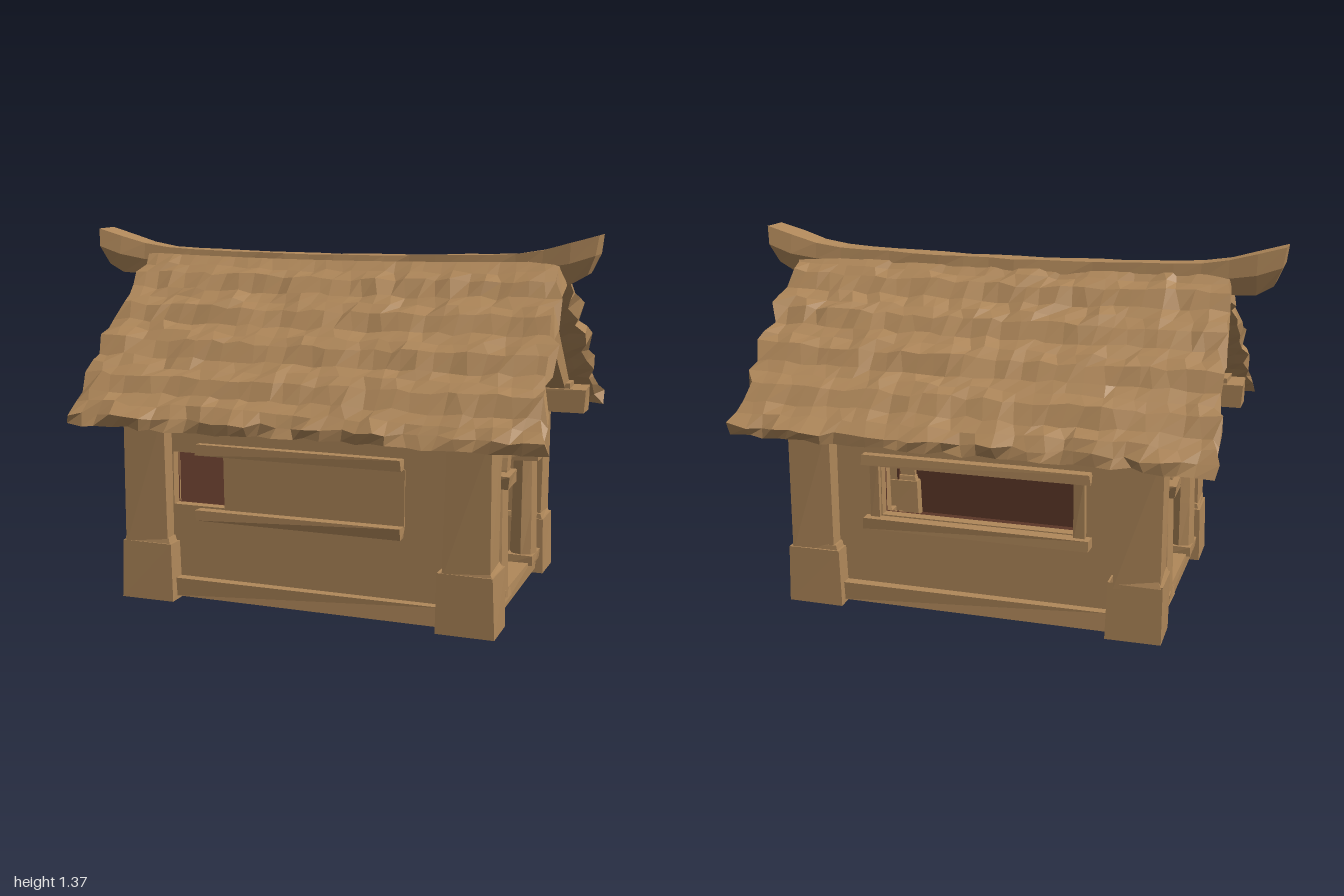
import * as THREE from 'three';

const tan = new THREE.MeshStandardMaterial({ color: 0xb0885a });
tan.name = 'tanWood';
const dark = new THREE.MeshStandardMaterial({ color: 0x5b3627 });
dark.name = 'darkInterior';

// repeatable noise from a position, so shared corners move together
const noise = (x, y, z, s = 0) => {
  const v = Math.sin(x * 127.1 + y * 311.7 + z * 74.7 + s * 53.3) * 4375.85;
  return v - Math.floor(v) - 0.5;
};

// move every vertex by a rule, then give each face its own flat normal
function carve(geo, rule) {
  const p = geo.attributes.position, v = new THREE.Vector3();
  for (let i = 0; i < p.count; i++) {
    v.fromBufferAttribute(p, i);
    rule(v);
    p.setXYZ(i, v.x, v.y, v.z);
  }
  const flat = geo.index ? geo.toNonIndexed() : geo;
  flat.computeVertexNormals();
  return flat;
}

function add(group, name, geo, mat = tan) {
  const m = new THREE.Mesh(geo, mat);
  m.name = name;
  group.add(m);
  return m;
}

// rough-hewn box given by its extents
function block(group, name, [x0, x1], [y0, y1], [z0, z1], mat = tan, rough = 0.01, taper = 0) {
  const geo = new THREE.BoxGeometry(x1 - x0, y1 - y0, z1 - z0);
  const m = add(group, name, carve(geo, (v) => {
    const a = noise(v.x + x0, v.y + y0, v.z + z0, 1), b = noise(v.x + x0, v.y + y0, v.z + z0, 2);
    if (v.y > 0) { v.x *= 1 - taper; v.z *= 1 - taper; }
    v.x += a * rough;
    v.z += b * rough;
    if (y0 > 0.02) v.y += (a + b) * rough * 0.4;
  }), mat);
  m.position.set((x0 + x1) / 2, (y0 + y1) / 2, (z0 + z1) / 2);
  return m;
}

function poly(points, Type = THREE.Shape) {
  return new Type(points.map(([x, y]) => new THREE.Vector2(x, y)));
}

function slab(group, name, shape, z0, z1, mat = tan) {
  const geo = new THREE.ExtrudeGeometry(shape, { depth: z1 - z0, bevelEnabled: false, curveSegments: 9 });
  geo.translate(0, 0, z0);
  return add(group, name, geo, mat);
}

// tan wall with a dark lining on its inner face
function wall(group, shape, z) {
  slab(group, 'wall', shape, z - 0.04, z);
  slab(group, 'wallLining', shape, z - 0.048, z - 0.04, dark);
}

// gable end, facing local +z
function gable(closed) {
  const g = new THREE.Group();
  const shape = poly([[-0.44, 0.03], [0.44, 0.03], [0.44, 0.73], [0, 1.17], [-0.44, 0.73]]);
  const hole = new THREE.Path();
  hole.moveTo(-0.345, 0.08);
  hole.lineTo(0.345, 0.08);
  hole.lineTo(0.345, 0.5);
  hole.lineTo(0.2, 0.5);
  hole.absarc(0, 0.5, 0.2, 0, Math.PI, false);
  hole.lineTo(-0.345, 0.5);
  shape.holes.push(hole);
  wall(g, shape, 0.65);

  // arch trim in two steps
  for (const [r, z] of [[0.29, 0.675], [0.255, 0.695]]) {
    const ring = new THREE.Shape();
    ring.absarc(0, 0.5, r, 0, Math.PI, false);
    ring.absarc(0, 0.5, 0.2, Math.PI, 0, true);
    slab(g, 'archTrim', ring, 0.62, z);
  }
  // columns beside the doorway
  for (const s of [-1, 1]) {
    const x = s * 0.25;
    const col = carve(new THREE.CylinderGeometry(0.046, 0.054, 0.42, 8, 2), (v) => {
      v.x += noise(v.x, v.y, v.z) * 0.006;
    });
    add(g, 'doorColumn', col).position.set(x, 0.29, 0.655);
    block(g, 'columnCapital', [x - 0.07, x + 0.07], [0.49, 0.54], [0.59, 0.72], tan, 0.015);
    block(g, 'columnFoot', [x - 0.06, x + 0.06], [0.07, 0.11], [0.6, 0.705]);
  }
  block(g, 'threshold', [-0.36, 0.36], [0.02, 0.08], [0.58, 0.685]);

  // tie beam, rafters and vent slit in the gable
  block(g, 'tieBeam', [-0.3, 0.3], [0.86, 0.91], [0.64, 0.74]);
  block(g, 'gableRail', [-0.16, 0.16], [0.95, 0.975], [0.645, 0.66]);
  block(g, 'ventSlit', [-0.13, 0.13], [0.953, 0.963], [0.655, 0.664], dark, 0);
  for (const s of [-1, 1]) {
    const rafter = poly([[0, 1.18], [0, 1.08], [s * 0.2, 0.87], [s * 0.38, 0.74], [s * 0.48, 0.71], [s * 0.46, 0.76]]);
    slab(g, 'rafter', rafter, 0.68, 0.78);
  }
  block(g, 'apexBlock', [-0.04, 0.04], [1.08, 1.17], [0.66, 0.77]);

  if (closed) {
    block(g, 'doorPanel', [-0.36, 0.36], [0.05, 0.72], [0.59, 0.605], tan, 0);
    block(g, 'doorLining', [-0.36, 0.36], [0.05, 0.72], [0.582, 0.59], dark, 0);
  }
  return g;
}

// long side, facing local +z, with a window from x0 to x1
function longSide(x0, x1, railX, framed) {
  const g = new THREE.Group();
  const shape = poly([[-0.6, 0.03], [0.6, 0.03], [0.6, 0.74], [-0.6, 0.74]]);
  shape.holes.push(poly([[x0, 0.36], [x1, 0.36], [x1, 0.56], [x0, 0.56]], THREE.Path));
  wall(g, shape, 0.43);
  block(g, 'windowSill', railX, [0.315, 0.355], [0.41, 0.475]);
  block(g, 'windowHead', railX, [0.56, 0.6], [0.41, 0.465]);
  if (framed) {
    for (const x of [x0 - 0.02, x1 + 0.02]) block(g, 'windowJamb', [x - 0.02, x + 0.02], [0.34, 0.58], [0.4, 0.45]);
  } else {
    block(g, 'shutter', [x1, railX[1] + 0.005], [0.355, 0.56], [0.42, 0.437], tan, 0.004);
  }
  block(g, 'baseRail', [-0.53, 0.53], [0.015, 0.085], [0.4, 0.465]);
  block(g, 'eaveBeam', [-0.86, 0.86], [0.655, 0.75], [0.35, 0.475]);
  return g;
}

// thatched slope on the +z side: stepped rows with a ragged edge
function thatch(seed) {
  return carve(new THREE.BoxGeometry(2, 1, 2, 30, 1, 14), (v) => {
    const u = v.x, top = v.y > 0, t = (v.z + 1) / 2, row = Math.round(t * 14);
    const n = (k) => noise(u, top ? 1 : 0, t, seed + k);
    const z = 0.04 + 0.545 * t;
    const edge = Math.abs(u) > 0.99 ? 1 : 0, eave = t > 0.99 ? 1 : 0;
    const step = top && row > 0 && row < 14 ? (row % 3 === 2 ? 0.012 : row % 3 === 0 ? -0.01 : 0) : 0;
    const thick = top ? 0 : 0.085 - 0.045 * t;
    v.x = u * (0.83 + 0.055 * t) + n(1) * (edge ? 0.045 : 0.03);
    v.z = z + (row ? n(2) * (eave ? 0.045 : 0.018) : 0);
    v.y = 1.31 - 0.95 * z - 0.13 * z * z - thick + step + n(3) * (top ? 0.018 : 0.012) * (row ? 1 : 0)
      - (1 - t) * 0.015 * (1 - u * u);
  });
}

// sagging ridge beam with flared, upturned ends
function ridge() {
  return carve(new THREE.BoxGeometry(2, 2, 2, 20, 2, 2), (v) => {
    const a = Math.abs(v.x), flare = Math.max(0, (a - 0.75) / 0.25);
    const yTop = 1.278 + 0.03 * a * a + 0.057 * flare;
    const yBottom = 1.18 + 0.02 * flare + (a > 0.95 ? 0.025 : 0);
    const half = 0.048 + 0.022 * Math.min(1, flare * 1.5);
    const width = v.y > 0.5 ? 0.85 : v.y < -0.5 ? 0.7 : 1.05;
    const j = noise(v.x, v.y, v.z) * 0.008;
    v.z = v.z * half * width - 0.008 + j;
    if (a > 0.99) v.x *= v.y > 0.5 ? 1 : v.y < -0.5 ? 0.96 : 0.99;
    v.y = yBottom + (yTop - yBottom) * (v.y + 1) / 2 + j * 0.5;
  });
}

export function createModel() {
  const model = new THREE.Group();
  model.name = 'thatchedHut';
  const house = new THREE.Group();
  house.name = 'house';
  house.position.x = 0.04;
  model.add(house);

  // base, floor and ceiling
  block(house, 'basePlate', [-0.66, 0.66], [0.012, 0.06], [-0.45, 0.45], tan, 0);
  block(house, 'floor', [-0.63, 0.63], [0.06, 0.068], [-0.4, 0.4], dark, 0);
  block(house, 'ceiling', [-0.61, 0.61], [0.725, 0.733], [-0.39, 0.39], dark, 0);

  // four corner posts on wide feet
  for (const sx of [-1, 1]) for (const sz of [-1, 1]) {
    const span = (a, b, s) => (s > 0 ? [a, b] : [-b, -a]);
    block(house, 'postFoot', span(0.51, 0.715, sx), [0, 0.22], span(0.335, 0.5, sz), tan, 0.012, 0.02);
    block(house, 'postFootCap', span(0.522, 0.708, sx), [0.215, 0.24], span(0.345, 0.495, sz), tan, 0.008, 0.08);
    block(house, 'cornerPost', span(0.535, 0.7, sx), [0.2, 0.72], span(0.36, 0.492, sz), tan, 0.012);
    block(house, 'rafterFoot', span(0.66, 0.8, sx), [0.67, 0.77], span(0.37, 0.465, sz));
  }

  // walls
  const sides = [
    ['doorGable', gable(false), Math.PI / 2],
    ['closedGable', gable(true), -Math.PI / 2],
    ['frontSide', longSide(-0.53, -0.32, [-0.42, 0.37], false), 0],
    ['backSide', longSide(-0.36, 0.38, [-0.42, 0.44], true), Math.PI],
  ];
  for (const [name, group, angle] of sides) {
    group.name = name;
    group.rotation.y = angle;
    house.add(group);
  }

  // roof
  add(house, 'frontThatch', thatch(3));
  add(house, 'backThatch', thatch(11)).rotation.y = Math.PI;
  add(model, 'ridgeBeam', ridge());
  return model;
}
